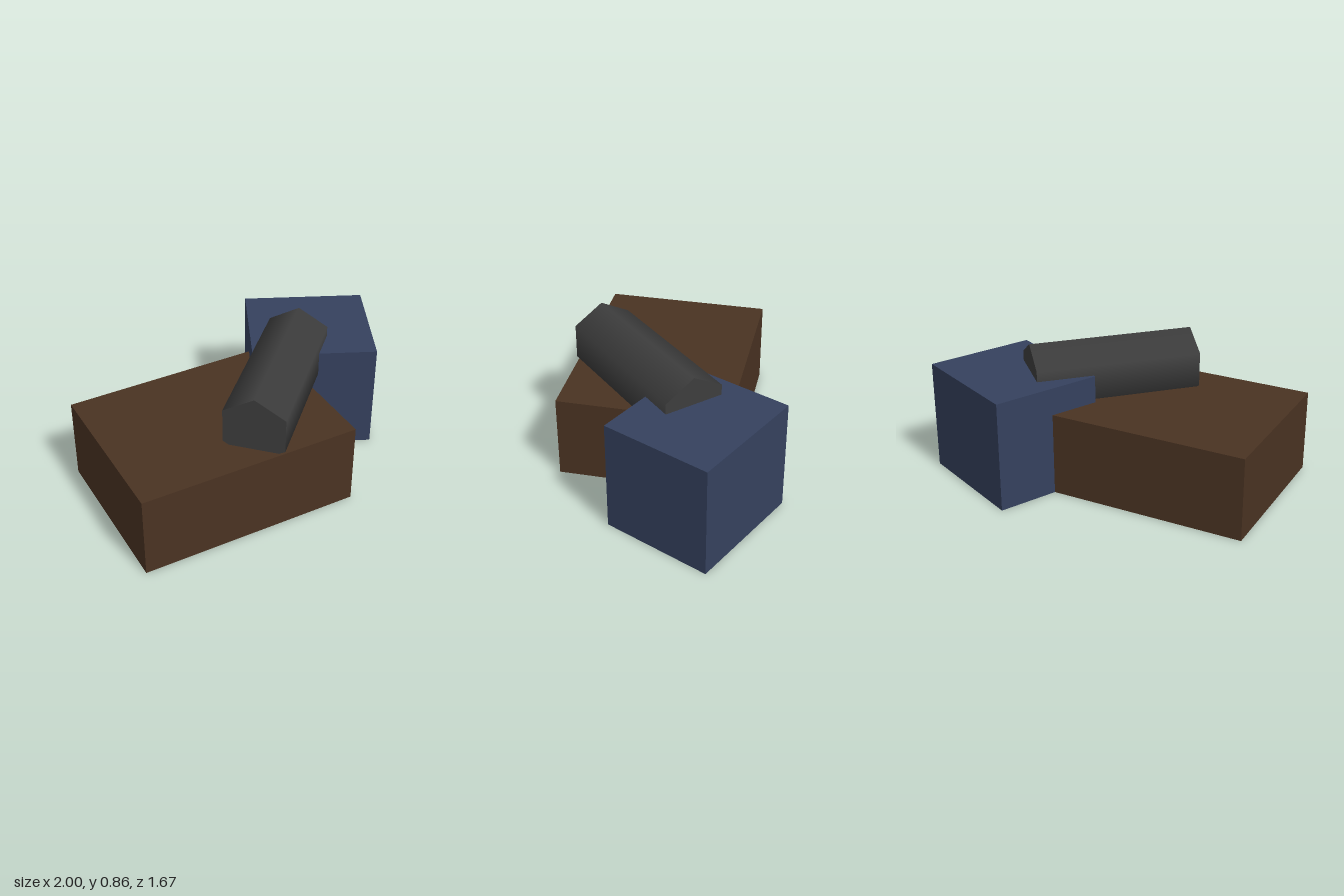
import * as THREE from 'three';

const material = (name, color, side = THREE.FrontSide) => {
  const m = new THREE.MeshStandardMaterial({ color, side });
  m.name = name;
  return m;
};

// Box standing on the ground, turned about y, with no bottom face
function openBox(name, [w, h, d], x, z, degrees, mat) {
  const geometry = new THREE.BoxGeometry(w, h, d);
  const index = Array.from(geometry.index.array);
  index.splice(18, 6); // fourth face is the bottom
  geometry.setIndex(index);
  geometry.clearGroups();
  const mesh = new THREE.Mesh(geometry, mat);
  mesh.name = name;
  mesh.position.set(x, h / 2, z);
  mesh.rotation.y = THREE.MathUtils.degToRad(degrees);
  return mesh;
}

export function createModel() {
  const model = new THREE.Group();
  model.name = 'stackedCargo';

  const brown = material('brown', 0x4a3322, THREE.DoubleSide);
  const blue = material('blue', 0x35415e, THREE.DoubleSide);
  const grey = material('grey', 0x3d3d3d);

  // Wide low crate and taller crate overlapping its back corner
  model.add(openBox('wideCrate', [1.366, 0.515, 1.02], -0.208, 0.163, 15, brown));
  model.add(openBox('tallCrate', [0.766, 0.685, 0.686], 0.5625, -0.434, -10, blue));

  // Six-sided, smooth-shaded roll lying across both crates, one ridge up
  const rollGeometry = new THREE.CylinderGeometry(0.214, 0.214, 1.025, 6);
  rollGeometry.rotateX(Math.PI / 2);
  const roll = new THREE.Mesh(rollGeometry, grey);
  roll.name = 'roll';
  roll.position.set(0.2175, 0.643, 0.075);
  roll.rotation.y = -Math.PI / 6;
  model.add(roll);

  return model;
}
